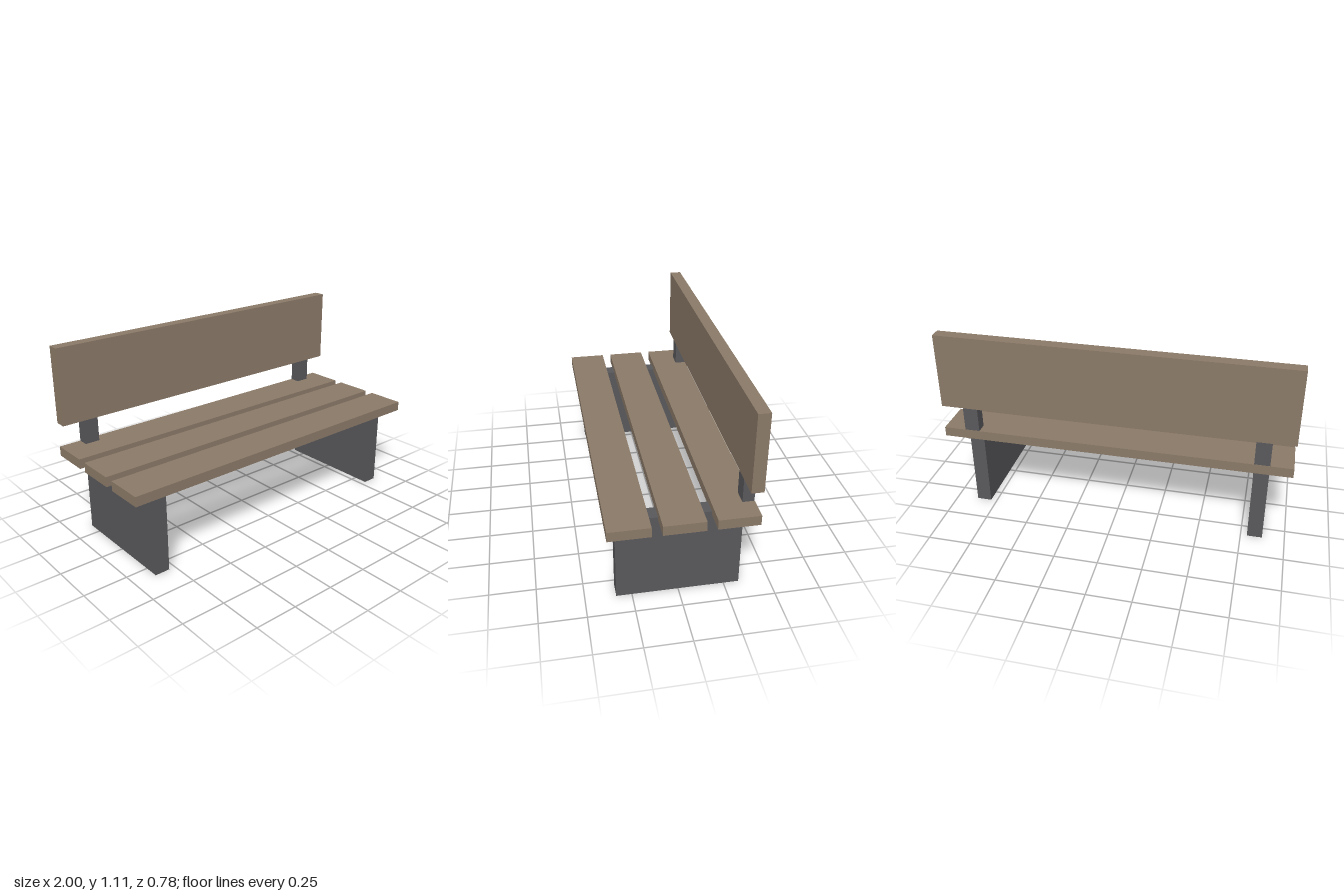
import * as THREE from 'three';

export function createModel() {
  const bench = new THREE.Group();
  bench.name = 'bench';

  const wood = new THREE.MeshStandardMaterial({ color: 0x8b7a68 });
  wood.name = 'weathered wood';
  const metal = new THREE.MeshStandardMaterial({ color: 0x59595c });
  metal.name = 'dark grey metal';

  // Box given by its lower and upper corners
  function addBox(name, material, [x0, y0, z0], [x1, y1, z1]) {
    const mesh = new THREE.Mesh(new THREE.BoxGeometry(x1 - x0, y1 - y0, z1 - z0), material);
    mesh.position.set((x0 + x1) / 2, (y0 + y1) / 2, (z0 + z1) / 2);
    mesh.name = name;
    bench.add(mesh);
  }

  // Three seat planks with gaps between them
  ['rear', 'middle', 'front'].forEach((place, i) => {
    const z = (i - 1) * 0.277;
    addBox(place + 'SeatPlank', wood, [-1, 0.474, z - 0.111], [1, 0.53, z + 0.111]);
  });

  // Wide backrest board
  addBox('backrestBoard', wood, [-1, 0.672, -0.388], [1, 1.113, -0.322]);

  for (const [side, x] of [['left', 0.83], ['right', -0.83]]) {
    // Solid end panel that carries the seat
    addBox(side + 'LegPanel', metal, [x - 0.043, 0, -0.334], [x + 0.043, 0.491, 0.334]);
    // Backrest post, set just inside the faces of the planks it joins
    addBox(side + 'BackrestPost', metal, [x - 0.043, 0.471, -0.3865], [x + 0.043, 0.9, -0.3235]);
  }

  return bench;
}
